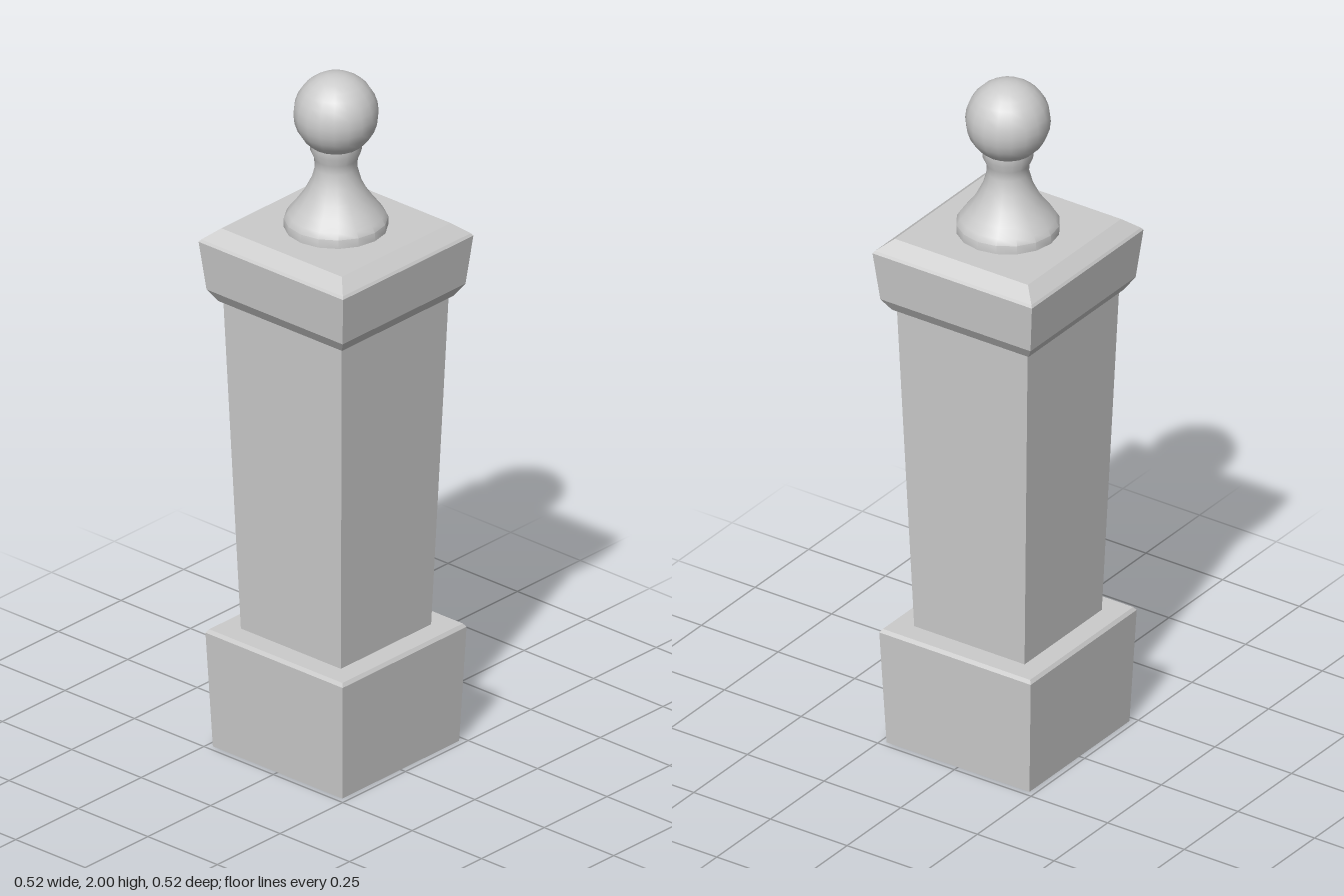
import * as THREE from 'three';
import { toCreasedNormals } from 'three/addons/utils/BufferGeometryUtils.js';

const toPoints = (profile) => profile.map(([r, y]) => new THREE.Vector2(r, y));

const flatStone = new THREE.MeshStandardMaterial({ color: 0xcccccc, flatShading: true, side: THREE.DoubleSide });
const smoothStone = new THREE.MeshStandardMaterial({ color: 0xcccccc, side: THREE.DoubleSide });

// Square block from [half width, height] pairs, bottom to top
function squareBlock(name, profile) {
  const corners = profile.map(([w, y]) => [w * Math.SQRT2, y]);
  const geometry = new THREE.LatheGeometry(toPoints(corners), 4, Math.PI / 4);
  const mesh = new THREE.Mesh(geometry, flatStone);
  mesh.name = name;
  return mesh;
}

export function createModel() {
  const model = new THREE.Group();
  model.name = 'gatePost';

  // Hollow plinth, open underneath, with a softened top edge
  model.add(squareBlock('plinth', [[0.233, 0], [0.247, 0.34], [0.24, 0.35], [0.18, 0.35]]));

  // Shaft widening upwards
  model.add(squareBlock('shaft', [[0.18, 0.35], [0.213, 1.325]]));

  // Flared cap with bevelled top
  model.add(squareBlock('cap', [
    [0.213, 1.325], [0.223, 1.33], [0.245, 1.365], [0.26, 1.508], [0.255, 1.515], [0.217, 1.547], [0, 1.547],
  ]));

  // Turned neck of the finial
  const neckProfile = [
    [0.14, 1.545], [0.14, 1.572], [0.13, 1.588], [0.111, 1.612], [0.088, 1.645],
    [0.068, 1.685], [0.057, 1.725], [0.059, 1.752], [0.069, 1.775], [0.069, 1.795],
  ];
  const neck = new THREE.Mesh(
    toCreasedNormals(new THREE.LatheGeometry(toPoints(neckProfile), 16), Math.PI / 5), smoothStone);
  neck.name = 'finialNeck';
  model.add(neck);

  // Ball on top
  const ball = new THREE.Mesh(new THREE.SphereGeometry(0.115, 18, 14), smoothStone);
  ball.name = 'finialBall';
  ball.position.y = 1.885;
  model.add(ball);

  return model;
}
